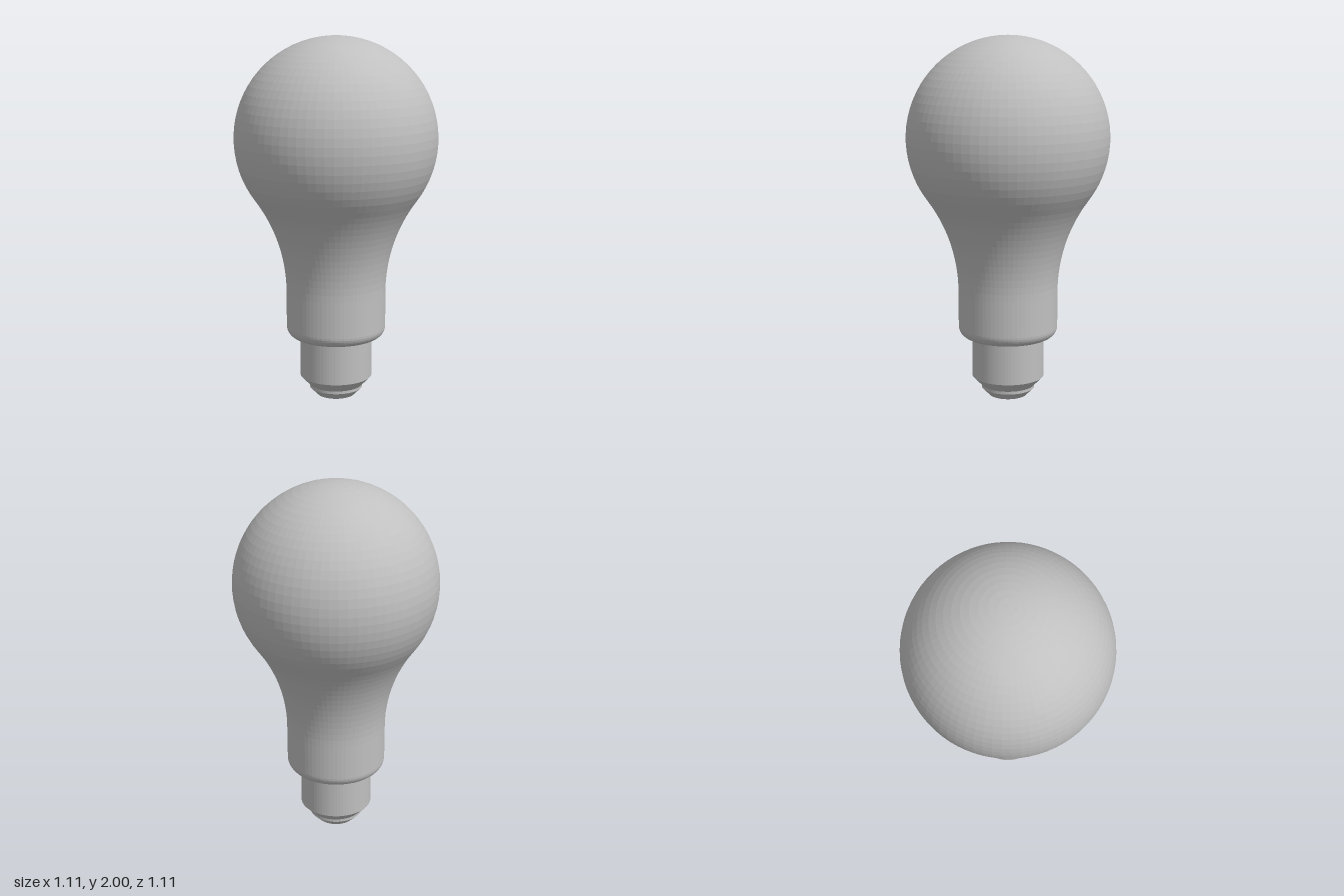
import * as THREE from 'three';

const SEGMENTS = 72;

// Points along an arc, angles in radians, both ends included
function arc(cx, cy, r, from, to, steps) {
  return Array.from({ length: steps + 1 }, (_, i) => {
    const a = from + ((to - from) * i) / steps;
    return new THREE.Vector2(Math.max(0, cx + r * Math.cos(a)), cy + r * Math.sin(a));
  });
}

export function createModel() {
  const group = new THREE.Group();
  const grey = new THREE.MeshStandardMaterial({ color: 0xc0c0c0, flatShading: true });
  grey.name = 'light grey';

  function addLathe(name, points) {
    const mesh = new THREE.Mesh(new THREE.LatheGeometry(points, SEGMENTS), grey);
    mesh.name = name;
    group.add(mesh);
  }

  // Round globe blending through a concave flare into a straight neck
  const globeR = 0.553, globeY = 2 - globeR;
  const neckR = 0.275, flareR = 0.88, rim = 0.06, bottom = 0.34;
  const dx = neckR + flareR;
  const dy = Math.sqrt((globeR + flareR) ** 2 - dx ** 2);
  const join = Math.atan2(dy, dx); // angle where flare and globe are tangent
  addLathe('bulb', [
    new THREE.Vector2(0.2, bottom),
    ...arc(neckR - rim, bottom + rim, rim, -Math.PI / 2, 0, 8),
    ...arc(dx, globeY - dy, flareR, Math.PI, Math.PI - join, 14),
    ...arc(0, globeY, globeR, -join, Math.PI / 2, 26).slice(1),
  ]);

  // Plain cylindrical base with a chamfered lower end
  addLathe('base', [[0.147, 0.058], [0.2, 0.113], [0.2, bottom]]
    .map(([x, y]) => new THREE.Vector2(x, y)));

  // Contact tip: short band, tapered end and flat bottom
  addLathe('contactTip', [[0, 0], [0.105, 0], [0.147, 0.042], [0.147, 0.058]]
    .map(([x, y]) => new THREE.Vector2(x, y)));

  return group;
}
